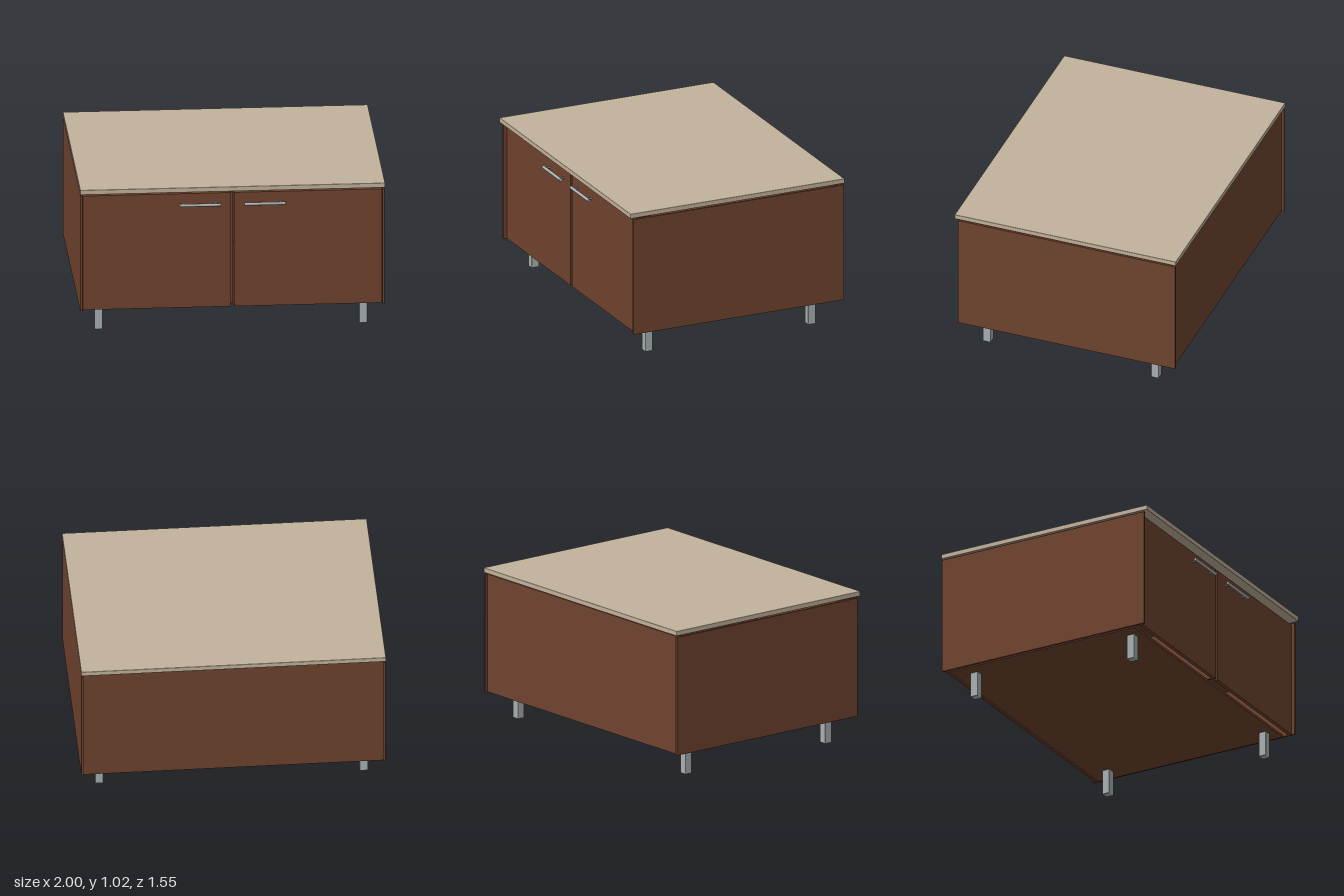
import * as THREE from 'three';
import { RoundedBoxGeometry } from 'three/addons/geometries/RoundedBoxGeometry.js';

export function createModel() {
  const model = new THREE.Group();
  model.name = 'cabinet';
  const material = (name, color) => {
    const m = new THREE.MeshStandardMaterial({ color });
    m.name = name;
    return m;
  };
  const wood = material('brown wood', 0x6f432e);
  const stone = material('beige worktop', 0xc2b29b);
  const metal = material('grey metal', 0xa9b0b2);

  const add = (name, geometry, mat, x, y, z, parent = model) => {
    const mesh = new THREE.Mesh(geometry, mat);
    mesh.name = name;
    mesh.position.set(x, y, z);
    parent.add(mesh);
    return mesh;
  };
  // Box given by its lower and upper limits on each axis
  const slab = (name, mat, [x0, x1], [y0, y1], [z0, z1], radius = 0) => {
    const size = [x1 - x0, y1 - y0, z1 - z0];
    const geometry = radius ? new RoundedBoxGeometry(...size, 2, radius) : new THREE.BoxGeometry(...size);
    return add(name, geometry, mat, (x0 + x1) / 2, (y0 + y1) / 2, (z0 + z1) / 2);
  };

  // Worktop
  slab('worktop', stone, [-1, 1], [0.99, 1.023], [-0.775, 0.775], 0.004);

  // Carcass
  slab('bottomPanel', wood, [-0.98, 0.98], [0.172, 0.19], [-0.72, 0.665]);
  slab('backPanel', wood, [-0.984, 0.984], [0.18, 0.98], [-0.755, -0.74]);
  slab('backRail', wood, [-0.98, 0.98], [0.965, 0.99], [-0.74, -0.72]);
  slab('frontRail', wood, [-0.984, 0.984], [0.965, 0.984], [0.62, 0.705]);
  slab('divider', wood, [-0.008, 0.008], [0.19, 0.965], [-0.74, 0.7]);
  slab('shelf', wood, [-0.98, 0.98], [0.595, 0.61], [-0.74, 0.68]);

  for (const [side, s] of [['left', 1], ['right', -1]]) {
    const span = (a, b) => [Math.min(a * s, b * s), Math.max(a * s, b * s)];
    slab(side + 'SidePanel', wood, span(0.984, 0.998), [0.178, 0.98], [-0.77, 0.752]);
    slab(side + 'Door', wood, span(0.011, 0.98), [0.178, 0.967], [0.705, 0.73]);

    // Bar handle on two posts
    const handle = new THREE.Group();
    handle.name = side + 'Handle';
    handle.position.set(0.212 * s, 0.897, 0);
    model.add(handle);
    add('handleBar', new THREE.CylinderGeometry(0.01, 0.01, 0.27, 16), metal, 0, 0, 0.767, handle).rotation.z = Math.PI / 2;
    for (const x of [-0.105, 0.105]) {
      add('handlePost', new THREE.CylinderGeometry(0.006, 0.006, 0.037, 12), metal, x, 0, 0.7485, handle).rotation.x = Math.PI / 2;
    }

    // Legs
    for (const [end, z] of [['Front', 0.59], ['Back', -0.588]]) {
      add(side + end + 'Leg', new RoundedBoxGeometry(0.055, 0.172, 0.055, 1, 0.005), metal, 0.868 * s, 0.086, z);
    }
  }
  return model;
}
